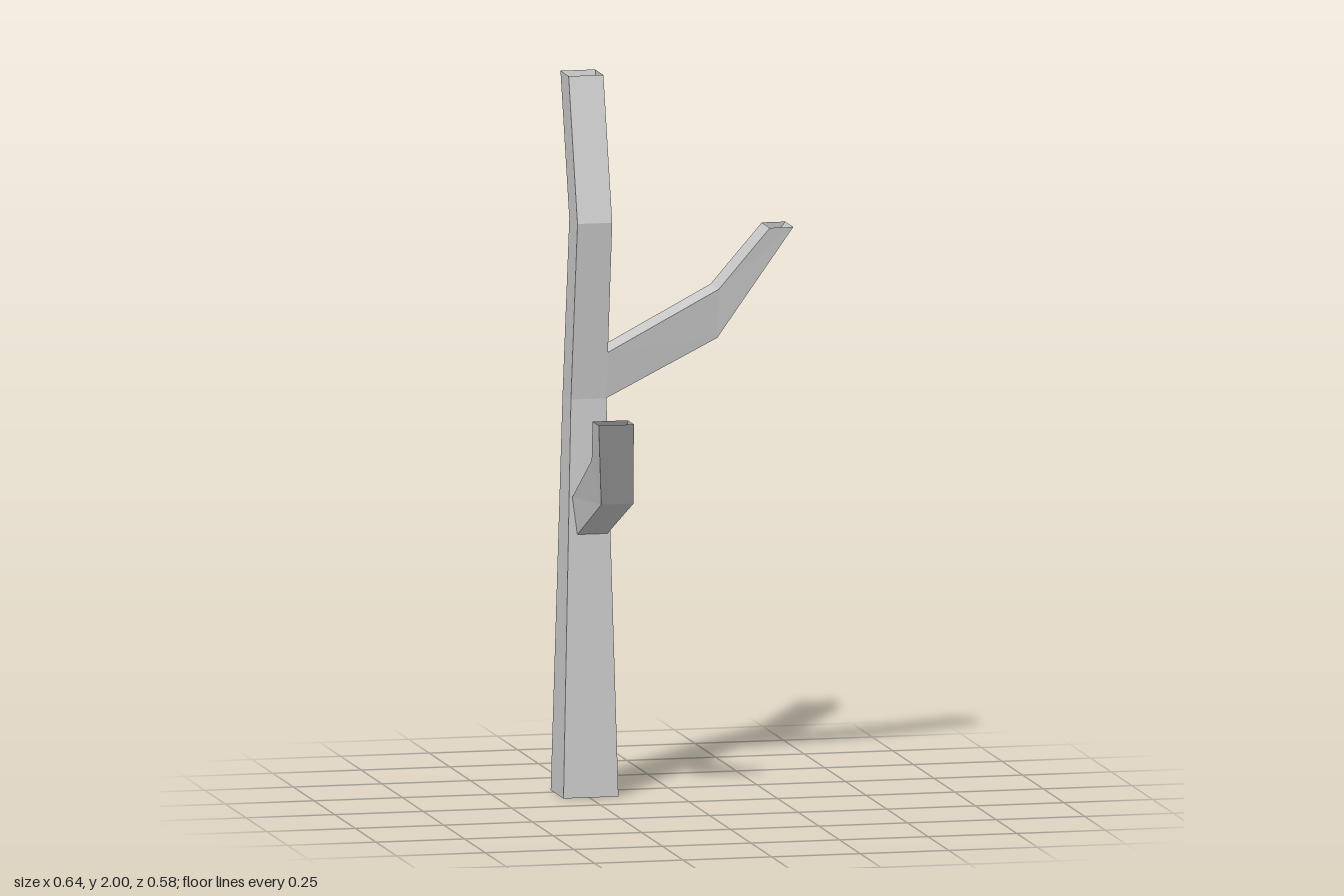
import * as THREE from 'three';

// Square tube through four-cornered sections; each section is a loop of [x, y, z].
// Corners run counter-clockwise when seen from the tip, so faces point outward.
function limb(name, sections, material, closeStart = false) {
  const pos = [];
  const quad = (a, b, c, d) => [a, b, c, a, c, d].forEach((p) => pos.push(...p));
  for (let s = 0; s < sections.length - 1; s++) {
    const lo = sections[s], hi = sections[s + 1];
    for (let i = 0; i < 4; i++) {
      const j = (i + 1) % 4;
      quad(lo[i], lo[j], hi[j], hi[i]);
    }
  }
  if (closeStart) quad(...sections[0].slice().reverse());
  const geometry = new THREE.BufferGeometry();
  geometry.setAttribute('position', new THREE.Float32BufferAttribute(pos, 3));
  geometry.computeVertexNormals();
  const mesh = new THREE.Mesh(geometry, material);
  mesh.name = name;
  return mesh;
}

export function createModel() {
  const group = new THREE.Group();
  group.name = 'bareTree';
  const bark = new THREE.MeshStandardMaterial({ color: 0xcccccc, flatShading: true, side: THREE.DoubleSide });
  bark.name = 'grey bark';

  // Trunk: level rectangles, closed at the foot and open at the top
  const level = (y, x0, x1, z0, z1) => [[x0, y, z1], [x1, y, z1], [x1, y, z0], [x0, y, z0]];
  group.add(limb('trunk', [
    level(0, -0.323, -0.168, -0.288, -0.133),
    level(1.105, -0.296, -0.196, -0.26, -0.159),
    level(1.605, -0.295, -0.197, -0.183, -0.084),
    level(2, -0.295, -0.197, -0.29, -0.191),
  ], bark, true));

  // Side branch: grows toward +x, bends up, open tip
  const side = (xLow, yLow, zLow, xTop, yTop, zTop) => [
    [xLow, yLow, zLow], [xLow, yLow, zLow - 0.099], [xTop, yTop, zTop - 0.099], [xTop, yTop, zTop],
  ];
  group.add(limb('sideBranch', [
    side(-0.197, 1.105, -0.16, -0.197, 1.235, -0.141),
    side(0.117, 1.262, -0.16, 0.117, 1.4, -0.141),
    side(0.321, 1.57, -0.114, 0.255, 1.57, -0.114),
  ], bark));

  // Front branch: grows toward +z, bends up, open tip
  const front = (xLow, wLow, yLow, zLow, xTop, wTop, yTop, zTop) => [
    [xLow, yLow, zLow], [xTop, yTop, zTop], [xTop + wTop, yTop, zTop], [xLow + wLow, yLow, zLow],
  ].reverse();
  group.add(limb('frontBranch', [
    front(-0.28, 0.085, 0.73, -0.151, -0.294, 0.084, 0.835, -0.151),
    front(-0.276, 0.091, 0.855, 0.122, -0.303, 0.098, 0.98, 0.122),
    front(-0.322, 0.099, 1.102, 0.289, -0.322, 0.099, 1.102, 0.214),
  ], bark));

  return group;
}
